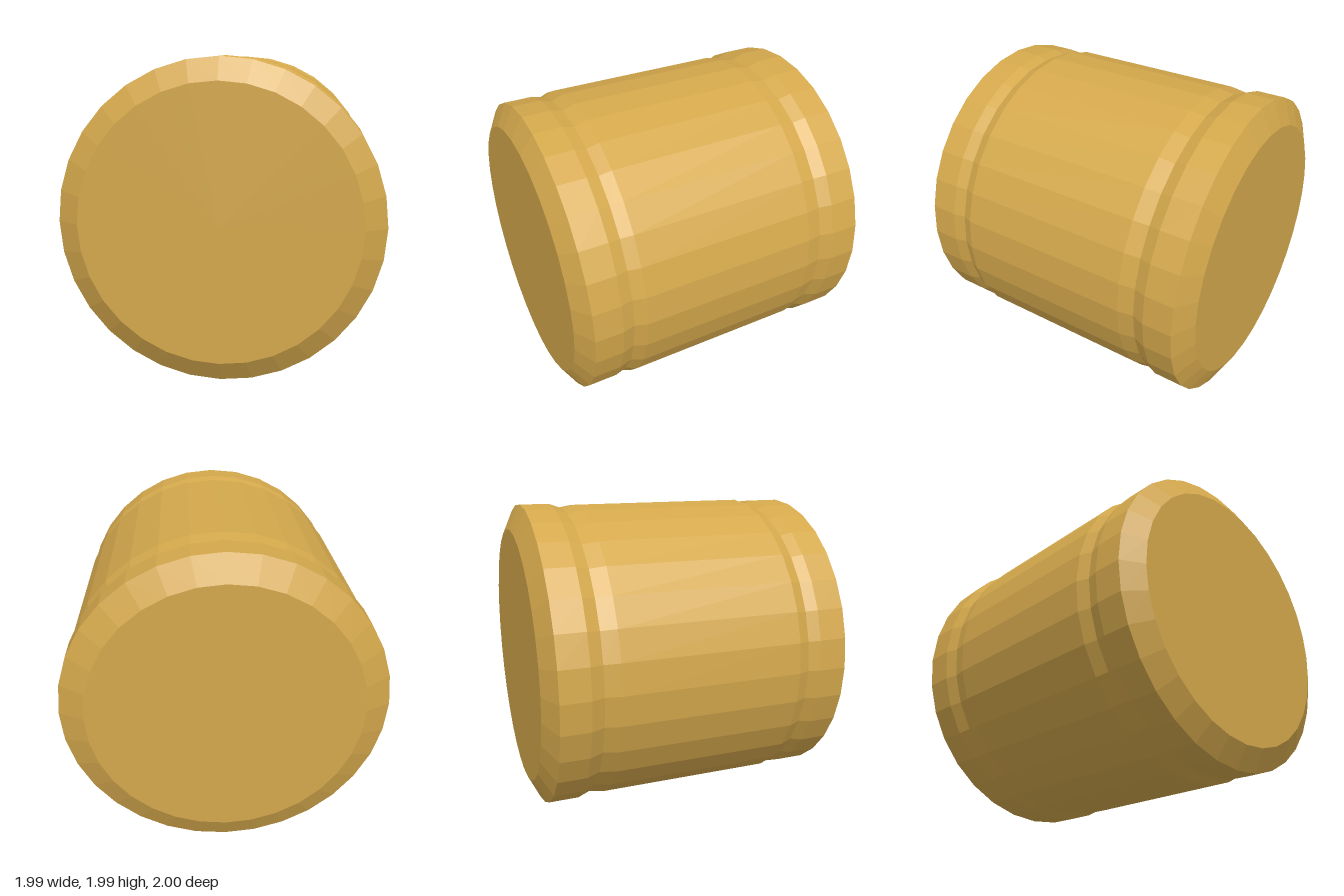
import * as THREE from 'three';

const SIDES = 32;

export function createModel() {
  const group = new THREE.Group();
  group.name = 'barrel';
  const material = new THREE.MeshStandardMaterial({ color: 0xd4a84c, flatShading: true });

  // Profiles as [radius, z], from back to front
  const parts = {
    backCap: [[0, -1], [0.84, -1], [0.996, -0.925], [0.996, -0.74], [0.967, -0.66]],
    body: [[0.967, -0.66], [0.985, -0.56], [0.985, 0.59], [0.956, 0.665]],
    frontCap: [[0.956, 0.665], [0.976, 0.74], [0.976, 0.92], [0.84, 1], [0, 1]],
  };

  for (const [name, profile] of Object.entries(parts)) {
    const points = profile.map(([r, z]) => new THREE.Vector2(r, z));
    const geometry = new THREE.LatheGeometry(points, SIDES);
    geometry.rotateX(Math.PI / 2); // lay the axis along z
    const mesh = new THREE.Mesh(geometry, material);
    mesh.name = name;
    mesh.position.y = 1;
    group.add(mesh);
  }
  return group;
}
